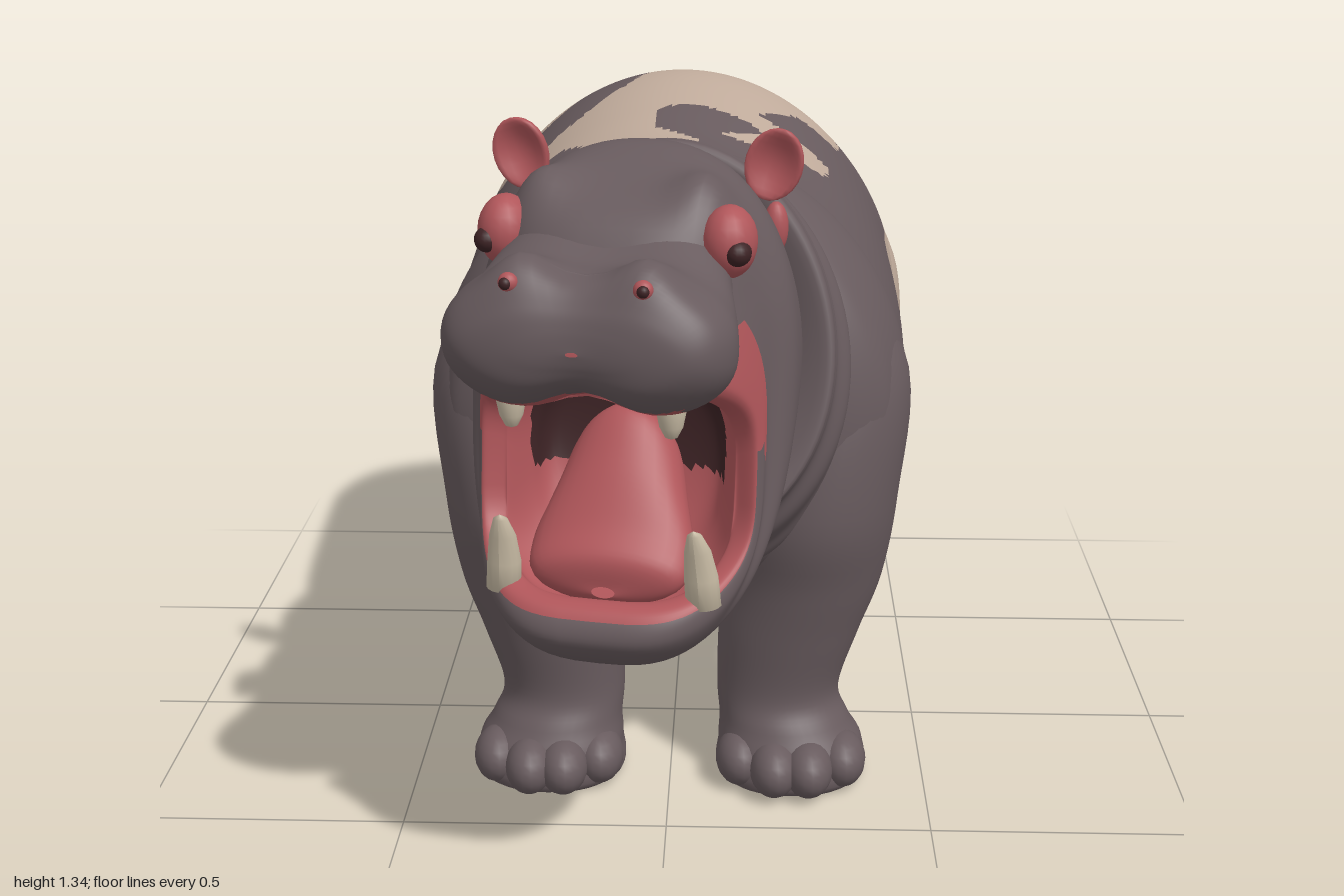
import * as THREE from 'three';

const material = (name, color) => Object.assign(new THREE.MeshStandardMaterial({ color }), { name });
const hide = material('hide', 0x685b5e);
const tan = material('tanPatch', 0xc0ab9b);
const flesh = material('flesh', 0xb0565a);
const dark = material('darkFlesh', 0x3d2325);
const ivory = material('ivory', 0xcabda6);

const spline = (a, b, c, d, t) =>
  0.5 * (2 * b + (c - a) * t + (2 * a - 5 * b + 4 * c - d) * t * t + (3 * b - a - 3 * c + d) * t * t * t);
const bump = (v, centre, width) => Math.exp(-(((v - centre) / width) ** 2));

// Smooth skin over rings. Ring: [zTop, yTop, zBottom, yBottom, halfWidth, sideShift, squareness, centreX]
function loft(rings, { sides = 64, steps = 8, side = 1, egg = 0, shape, pick = () => 0 } = {}) {
  const pos = [], n = rings.length, count = (n - 1) * steps + 1;
  const ring = i => rings[Math.min(n - 1, Math.max(0, i))];
  const get = (i, k) => ring(i)[k] ?? (k === 6 ? 1 : 0);
  const p = new THREE.Vector3();
  for (let j = 0; j < count; j++) {
    const i = Math.floor(j / steps), t = (j % steps) / steps;
    const [zt, yt, zb, yb, w, shift, e, cx] = [0, 1, 2, 3, 4, 5, 6, 7].map(k =>
      spline(get(i - 1, k), get(i, k), get(i + 1, k), get(i + 2, k), t));
    for (let s = 0; s < sides; s++) {
      const a = s / sides * Math.PI * 2, c = Math.cos(a), q = Math.sin(a);
      const se = v => Math.sign(v) * Math.abs(v) ** e;
      p.set(side * cx + w * se(c) * (1 - egg * q),
        (yt + yb) / 2 + (yt - yb) / 2 * se(q),
        (zt + zb) / 2 + (zt - zb) / 2 * se(q) + shift * c * c);
      if (shape) shape(p);
      pos.push(p.x, p.y, p.z);
    }
  }
  const tris = [];
  for (let j = 0; j < count - 1; j++) for (let s = 0; s < sides; s++) {
    const a = j * sides + s, b = j * sides + (s + 1) % sides;
    tris.push([a, b, b + sides, j], [a, b + sides, a + sides, j]);
  }
  // Turn the skin outward, then sort faces by colour
  const at = i => new THREE.Vector3().fromArray(pos, i * 3);
  let volume = 0;
  for (const [a, b, c] of tris) volume += at(a).dot(at(b).cross(at(c)));
  const lists = [[], [], []];
  for (const [a, b, c, j] of tris) {
    const mid = at(a).add(at(b)).add(at(c)).divideScalar(3);
    lists[pick(mid, (j + 0.5) / steps)].push(...(volume > 0 ? [a, b, c] : [a, c, b]));
  }
  const geo = new THREE.BufferGeometry();
  geo.setAttribute('position', new THREE.Float32BufferAttribute(pos, 3));
  geo.setIndex(lists.flat());
  let start = 0;
  lists.forEach((l, i) => { if (l.length) geo.addGroup(start, l.length, i); start += l.length; });
  geo.computeVertexNormals();
  return geo;
}

// Patch outlines: back in (x, z), flanks in (z, y)
const backPatch = [[-.47, -.71], [-.42, -.77], [-.26, -.87], [-.15, -.93], [-.03, -.95], [-.08, -.81], [-.08, -.72],
  [.06, -.74], [.19, -.71], [.23, -.65], [.3, -.68], [.29, -.79], [.38, -.83], [.47, -.74], [.5, -.6], [.46, -.52],
  [.33, -.5], [.25, -.47], [.16, -.33], [.32, -.3], [.31, -.23], [.16, -.14], [.08, -.15], [.18, -.23], [.15, -.26],
  [.03, -.3], [-.04, -.28], [-.05, -.18], [.04, -.1], [.06, .05], [-.11, .06], [-.11, -.05], [-.23, -.23], [-.35, -.26],
  [-.31, -.33], [-.21, -.39], [-.12, -.48], [-.07, -.58], [-.11, -.62], [-.18, -.6], [-.26, -.54], [-.39, -.5],
  [-.45, -.46], [-.5, -.55]];
const shoulderPatch = [[.12, 1.09], [.07, 1.12], [-.02, 1.11], [-.05, 1.02], [-.03, .9], [.02, .92], [.1, .99]];
const leftPatch = [[-.52, 1.24], [-.6, 1.26], [-.74, 1.21], [-.7, 1.17], [-.81, 1.08], [-.83, .99], [-.81, .83],
  [-.74, .71], [-.6, .68], [-.52, .74], [-.43, .63], [-.36, .49], [-.26, .455], [-.11, .48], [-.1, .56], [-.14, .68],
  [-.31, .76], [-.42, .89], [-.58, .91], [-.65, .99], [-.58, 1.07], [-.62, 1.11], [-.58, 1.19]];
const rightFlank = [[-.05, .82], [-.12, .86], [-.25, .8], [-.4, .87], [-.56, .83], [-.55, .74], [-.4, .67], [-.33, .66],
  [-.3, .52], [-.2, .46], [-.12, .5], [-.03, .6]];
const rightHip = [[-.48, 1.15], [-.74, 1.15], [-.81, 1.03], [-.75, .96], [-.68, 1.02], [-.58, .98], [-.48, 1.03]];

function inside(poly, x, y) {
  let hit = false;
  poly.forEach(([ax, ay], i) => {
    const [bx, by] = poly[(i + 1) % poly.length];
    if ((ay > y) !== (by > y) && x < (bx - ax) * (y - ay) / (by - ay) + ax) hit = !hit;
  });
  return hit;
}
function skin(p) {
  if (inside(shoulderPatch, p.z, p.y) && Math.abs(p.x) > .15) return 1;
  if (p.y > 1.1 || (p.z < -.82 && p.y > .9 && p.x < .2)) return +inside(backPatch, p.x, p.z);
  if (p.z > .37 && p.y > .42 && p.y < .68 && Math.abs(p.x - .01) < .14) return 1;
  if (Math.abs(p.x) < .1) return 0;
  return +(p.x > 0 ? [leftPatch] : [rightFlank, rightHip]).some(q => inside(q, p.z, p.y));
}

export function createModel() {
  const model = new THREE.Group();
  model.name = 'hippopotamus';
  const head = new THREE.Group();
  head.name = 'head';
  head.position.z = .35;
  head.rotation.y = -.2;
  model.add(head);

  const add = (parent, name, geo, mat, x = 0, y = 0, z = 0) => {
    const mesh = new THREE.Mesh(geo, mat);
    mesh.name = name;
    mesh.position.set(x, y, z);
    parent.add(mesh);
    return mesh;
  };
  const blob = (parent, name, mat, pos, size) =>
    add(parent, name, new THREE.SphereGeometry(1, 18, 12).scale(...size), mat, ...pos);

  // Barrel body, with a cleft at the rump
  const slices = [[-.995, .76, .74, .02], [-.985, .88, .64, .16], [-.955, .965, .5, .3], [-.87, 1.085, .42, .4],
    [-.76, 1.195, .36, .455], [-.62, 1.255, .32, .475], [-.5, 1.267, .3, .47], [-.28, 1.235, .26, .475],
    [-.1, 1.205, .28, .465], [.03, 1.205, .32, .44], [.16, 1.235, .36, .452], [.28, 1.2, .4, .425], [.35, 1.12, .44, .385],
    [.395, .97, .52, .27], [.41, .75, .73, .02]];
  add(model, 'body', loft(slices.map(([z, t, b, w]) => [z, t, z, b, w]), {
    sides: 180, steps: 13, egg: .08, pick: skin,
    shape: p => { if (p.z < -.8) p.z += .035 * bump(p.x, 0, .06) * Math.min(1, (-.8 - p.z) / .15); }
  }), [hide, tan]);

  // Neck with skin folds
  add(model, 'neckFolds', loft([[.1, 1.17, .3, .42, .34], [.2, 1.245, .4, .455, .35], [.265, 1.235, .44, .49, .33],
    [.31, 1.27, .5, .53, .33], [.345, 1.278, .53, .57, .305], [.39, 1.295, .58, .6, .3], [.43, 1.265, .6, .64, .268],
    [.36, 1.0, .36, .9, .05]], { sides: 80, egg: .04, pick: skin }), [hide, tan]);

  // Head shell: cheeks and jaw run to the lips, then fold back into the open mouth; brows swell over the eyes
  add(head, 'skullAndJaw', loft([[.02, 1.2, .2, .68, .24], [.08, 1.285, .25, .6, .275], [.18, 1.318, .32, .52, .284, 0, .85],
    [.3, 1.28, .42, .485, .275, -.06, .76], [.42, 1.22, .5, .495, .252, -.13, .68], [.5, 1.05, .555, .55, .247, -.17, .6],
    [.5, .99, .54, .6, .235, -.15, .54], [.47, .965, .5, .61, .205, -.13, .54], [.38, .965, .44, .58, .195, -.06, .6],
    [.27, .96, .33, .6, .17, 0, .75], [.22, .94, .26, .66, .14], [.21, .84, .21, .8, .01]], {
    sides: 88,
    shape: p => { if (p.y > 1.1) p.y += .05 * bump(Math.abs(p.x), .15, .06) * bump(p.z, .33, .07) * Math.min(1, (p.y - 1.1) / .06); },
    pick: (p, row) => row > 7.5 && p.z < .3 && p.y > .76 ? 2 :
      row > 5.75 || (row > 4.4 && p.y > .84 && p.y < 1.06) ? 1 : 0
  }), [hide, flesh, dark]);

  // Broad two-lobed muzzle with an arched lip and raised nostrils
  add(head, 'muzzle', loft([[.22, 1.25, .22, 1.1, .08], [.3, 1.265, .3, 1.0, .18, 0, .9], [.39, 1.23, .39, .98, .2, 0, .8],
    [.47, 1.195, .46, .94, .225, 0, .8], [.54, 1.19, .53, .935, .238, 0, .85], [.6, 1.18, .59, .955, .222, 0, .9],
    [.632, 1.145, .63, .99, .18], [.645, 1.11, .645, 1.03, .1], [.65, 1.075, .65, 1.065, .01]], {
    shape: p => {
      const mid = bump(p.x, 0, .08), far = Math.min(1, Math.abs(p.y - 1.07) / .12);
      if (p.z > .4) p.y += (p.y < 1.07 ? .04 : -.015) * mid * far;
      if (p.y > 1.07) p.y += .035 * far * bump(Math.abs(p.x), .105, .05) * bump(p.z, .57, .06);
      if (p.z > .55) p.z -= .015 * mid;
    },
    pick: p => +(p.y < .985 && Math.abs(p.x) < .16 && p.z < .58)
  }), [hide, flesh]);

  // Tongue, narrowing towards the throat
  add(head, 'tongue', loft([[.47, .62, .47, .6, .02], [.47, .67, .44, .58, .12], [.43, .72, .38, .6, .14],
    [.37, .81, .3, .65, .115], [.31, .88, .24, .72, .085], [.25, .88, .22, .78, .03]], { sides: 32, steps: 6 }), flesh);

  const tusk = (name, r, h, bend, x, y, z) => {
    const geo = new THREE.LatheGeometry([[0, 0], [r, 0], [r * .95, h * .35], [r * .75, h * .7], [r * .4, h * .94], [0, h]]
      .map(([a, b]) => new THREE.Vector2(a, b)), 16);
    const v = geo.attributes.position;
    for (let i = 0; i < v.count; i++) v.setZ(i, v.getZ(i) + bend * (v.getY(i) / h) ** 2);
    geo.computeVertexNormals();
    return add(head, name, geo, ivory, x, y, z);
  };

  for (const s of [1, -1]) {
    const label = s > 0 ? 'left' : 'right';

    // Tusks
    tusk(label + 'LowerTusk', .03, .145, .04, s * .172, .605, .47).rotation.z = s * .06;
    tusk(label + 'UpperTusk', .026, .075, 0, s * .132, .985, .53).rotation.x = Math.PI;

    // Eyes and nostrils
    blob(head, label + 'EyeSocket', flesh, [s * .188, 1.195, .362], [.046, .06, .056]);
    blob(head, label + 'Eye', dark, [s * .209, 1.185, .395], [.022, .022, .028]);
    blob(head, label + 'NostrilRim', flesh, [s * .107, 1.172, .608], [.016, .016, .014]);
    blob(head, label + 'Nostril', dark, [s * .109, 1.172, .617], [.01, .01, .01]);

    // Cupped ear
    const ear = blob(head, label + 'Ear', flesh, [s * .222, 1.283, .165], [.05, .063, .033]);
    const v = ear.geometry.attributes.position;
    for (let i = 0; i < v.count; i++) if (v.getZ(i) > 0)
      v.setZ(i, v.getZ(i) - .045 * Math.max(0, 1 - (v.getX(i) / .05) ** 2 - (v.getY(i) / .063) ** 2));
    ear.geometry.computeVertexNormals();
    ear.rotation.z = -s * .3;
    blob(head, label + 'EarBase', flesh, [s * .222, 1.17, .14], [.022, .045, .022]);

    // Legs, flat at the ground
    const ground = p => { p.y = Math.max(0, p.y); };
    add(model, label + 'FrontLeg', loft([[.24, 1.02, .16, 1.02, .02, 0, 1, .33], [.36, .82, .02, .82, .135, 0, 1, .318],
      [.405, .58, .015, .58, .16, 0, 1, .278], [.375, .42, .025, .4, .155, 0, 1, .258], [.352, .3, .095, .3, .138, 0, 1, .232],
      [.335, .18, .125, .18, .12, 0, 1, .212], [.36, .12, .115, .11, .128, 0, 1, .225], [.385, .065, .1, .06, .143, 0, .9, .238],
      [.375, 0, .105, 0, .136, 0, .9, .238], [.25, 0, .24, 0, .005, 0, 1, .238]],
      { sides: 44, steps: 6, side: s, shape: ground }), hide);
    add(model, label + 'HindLeg', loft([[-.62, 1.05, -.72, 1.05, .02, 0, 1, .34], [-.46, .82, -.89, .84, .17, 0, 1, .31],
      [-.425, .6, -.945, .64, .2, 0, 1, .297], [-.47, .44, -.875, .47, .182, 0, 1, .28], [-.565, .33, -.925, .35, .15, 0, 1, .258],
      [-.6, .27, -.935, .29, .138, 0, 1, .25], [-.63, .18, -.89, .2, .122, 0, 1, .242], [-.635, .12, -.875, .12, .12, 0, 1, .24],
      [-.62, .06, -.885, .06, .134, 0, .9, .245], [-.625, 0, -.88, 0, .128, 0, .9, .245], [-.74, 0, -.75, 0, .005, 0, 1, .245]],
      { sides: 60, steps: 7, side: s, shape: ground, pick: skin }), [hide, tan]);

    // Four toes on each foot
    for (const [name, x, z] of [['FrontToe', .238, .362], ['HindToe', .245, -.655]])
      for (const i of [-1.5, -.5, .5, 1.5])
        blob(model, label + name, hide, [s * x + i * .066, .054, z - .025 * (i * i - .25)], [.048, .054, .07]);
  }

  // Short flat tail
  add(model, 'tail', loft([[-.93, .8, -.95, .8, .01], [-.975, .76, -.94, .74, .025], [-.99, .66, -.94, .66, .03],
    [-.985, .58, -.945, .58, .035], [-.975, .53, -.95, .53, .024], [-.963, .515, -.96, .515, .003]], { sides: 24 }), hide);

  return model;
}
